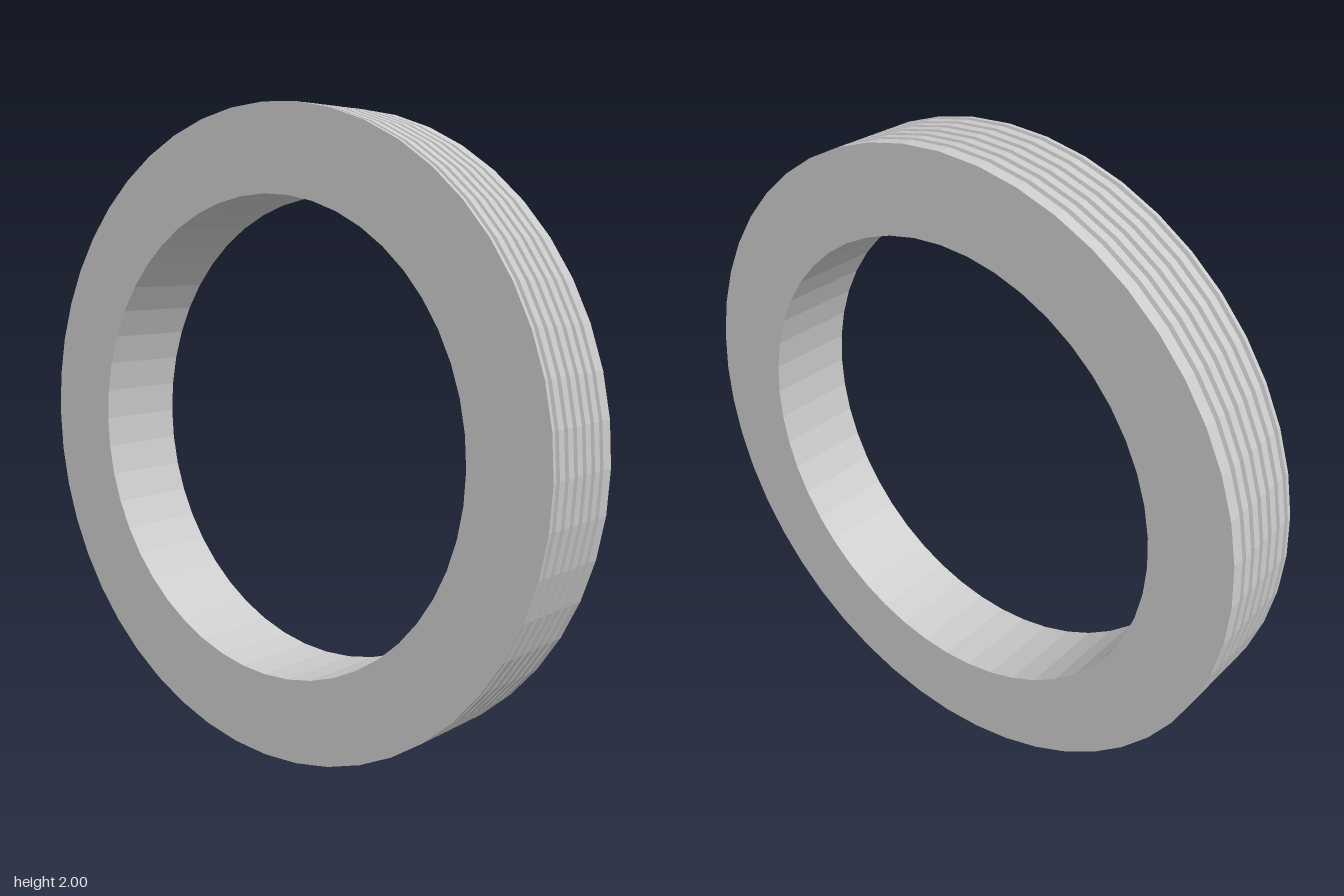
import * as THREE from 'three';

const OUTER = 1, INNER = 0.737, HALF_WIDTH = 0.147;
const GROOVES = 6, FIRST = -0.125, PITCH = 0.0444;
const DEPTH = 0.018, HALF_MOUTH = 0.009, HALF_FLOOR = 0.004;

export function createModel() {
  const group = new THREE.Group();
  group.name = 'groovedRing';

  // Closed cross-section (radius, axial position): grooved rim, then the plain bore
  const profile = [[INNER, -HALF_WIDTH], [OUTER, -HALF_WIDTH]];
  for (let i = 0; i < GROOVES; i++) {
    const c = FIRST + i * PITCH;
    profile.push(
      [OUTER, c - HALF_MOUTH],
      [OUTER - DEPTH, c - HALF_FLOOR],
      [OUTER - DEPTH, c + HALF_FLOOR],
      [OUTER, c + HALF_MOUTH]
    );
  }
  profile.push([OUTER, HALF_WIDTH], [INNER, HALF_WIDTH], [INNER, -HALF_WIDTH]);

  const ring = new THREE.Mesh(
    new THREE.LatheGeometry(profile.map(([r, a]) => new THREE.Vector2(r, a)), 48),
    new THREE.MeshStandardMaterial({ color: 0xcccccc, flatShading: true })
  );
  ring.name = 'ring';
  // Stand the ring on its rim with its axis along x
  ring.rotation.z = -Math.PI / 2;
  ring.position.y = OUTER;
  group.add(ring);
  return group;
}
